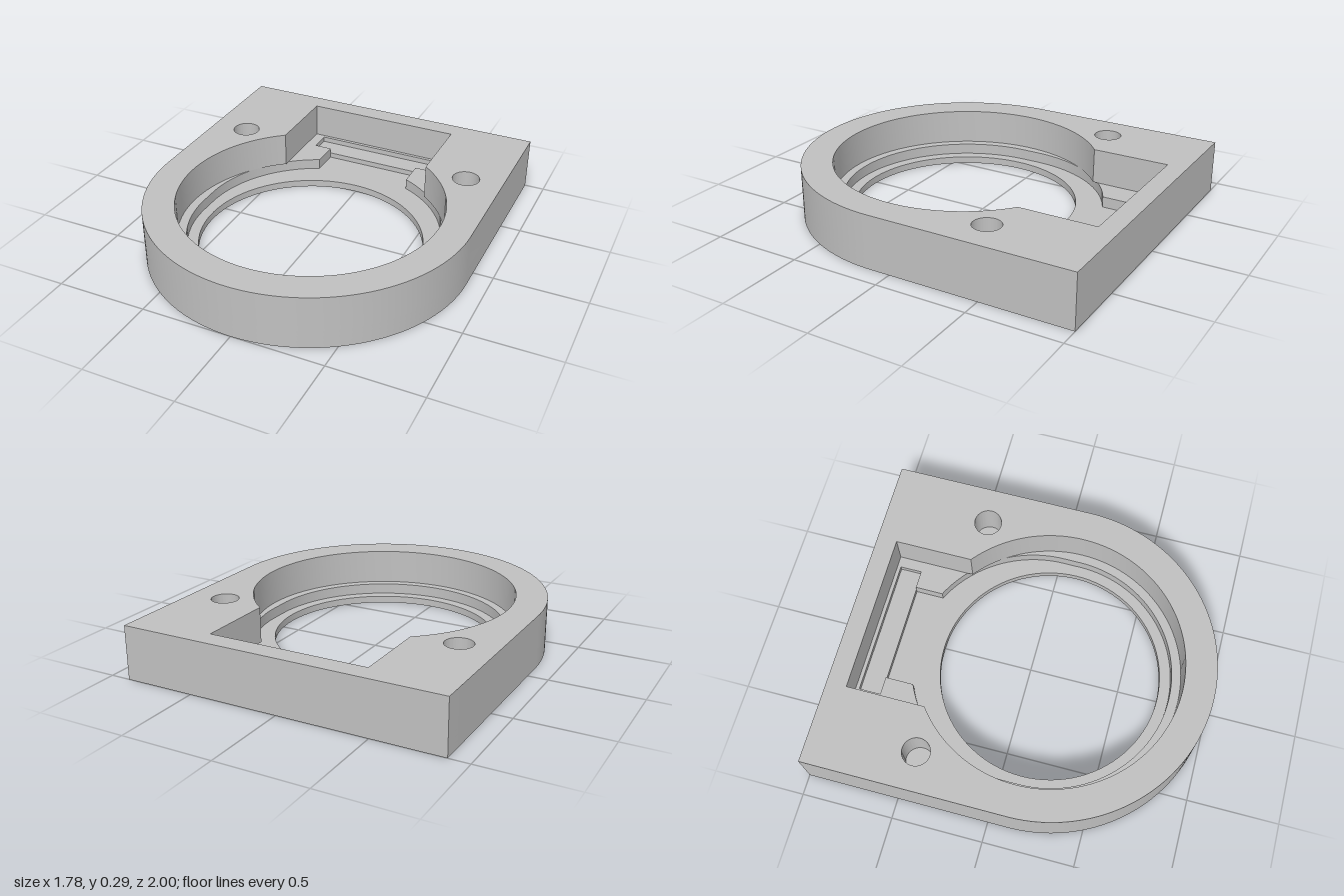
import * as THREE from 'three';
import { toCreasedNormals } from 'three/addons/utils/BufferGeometryUtils.js';

// Plan shapes are drawn in (x, z); the ring is centred on z = CZ.
const CZ = 0.11, BACK_CZ = 0.015;

function outline() {
  const s = new THREE.Shape();
  s.moveTo(-0.89, -1);
  s.lineTo(0.89, -1);
  s.lineTo(0.89, CZ);
  s.absarc(0, CZ, 0.89, 0, Math.PI, false);
  s.lineTo(-0.89, -1);
  return s;
}

function circle(x, z, r) {
  return new THREE.Path().absarc(x, z, r, 0, Math.PI * 2, false);
}

// Round recess joined to the rectangular pocket at the back
function upperRecess() {
  const r = 0.72, w = 0.44, a = -Math.acos(w / r);
  const p = new THREE.Path();
  p.absarc(0, CZ, r, a, Math.PI - a, false);
  p.lineTo(-w, -0.89);
  p.lineTo(w, -0.89);
  p.closePath();
  return p;
}

// Elongated round recess with a slot, optionally ending in a wider cross slot
function lowerRecess(crossSlot) {
  const r = 0.67, w = 0.28, a = -Math.acos(w / r);
  const p = new THREE.Path();
  p.absarc(0, BACK_CZ, r, a, 0, false);
  p.absarc(0, CZ, r, 0, Math.PI, false);
  p.absarc(0, BACK_CZ, r, Math.PI, Math.PI - a, false);
  p.lineTo(-w, -0.75);
  if (crossSlot) {
    p.lineTo(-0.38, -0.75);
    p.lineTo(-0.38, -0.87);
    p.lineTo(0.38, -0.87);
    p.lineTo(0.38, -0.75);
  }
  p.lineTo(w, -0.75);
  p.closePath();
  return p;
}

export function createModel() {
  const group = new THREE.Group();
  group.name = 'ringHousing';
  const grey = new THREE.MeshStandardMaterial({ color: 0xc0c0c0 });
  grey.name = 'grey';

  // Blind screw holes underneath and locating holes on top
  const screwHoles = () => [[0.51, -0.51], [-0.51, -0.51], [0.69, 0.495], [-0.69, 0.495], [0, 0.89]]
    .map(([x, z]) => circle(x, z, 0.038));
  const topHoles = () => [-1, 1].map((s) => circle(s * 0.685, -0.43, 0.075));

  // Stacked layers, from the base flange up to the outer wall
  const layers = [
    ['baseFlange', 0, 0.04, [circle(0, CZ, 0.61), ...screwHoles()]],
    ['slotLayer', 0.04, 0.07, [lowerRecess(false), ...screwHoles()]],
    ['crossSlotLayer', 0.07, 0.1, [lowerRecess(true), ...screwHoles()]],
    ['outerWall', 0.1, 0.295, [upperRecess(), ...topHoles()]],
  ];
  for (const [name, y0, y1, holes] of layers) {
    const shape = outline();
    shape.holes.push(...holes);
    let geo = new THREE.ExtrudeGeometry(shape, { depth: y1 - y0, bevelEnabled: false, curveSegments: 48 });
    geo.rotateX(Math.PI / 2);
    geo.translate(0, y1, 0);
    geo = toCreasedNormals(geo, 0.5);
    const mesh = new THREE.Mesh(geo, grey);
    mesh.name = name;
    group.add(mesh);
  }
  return group;
}
